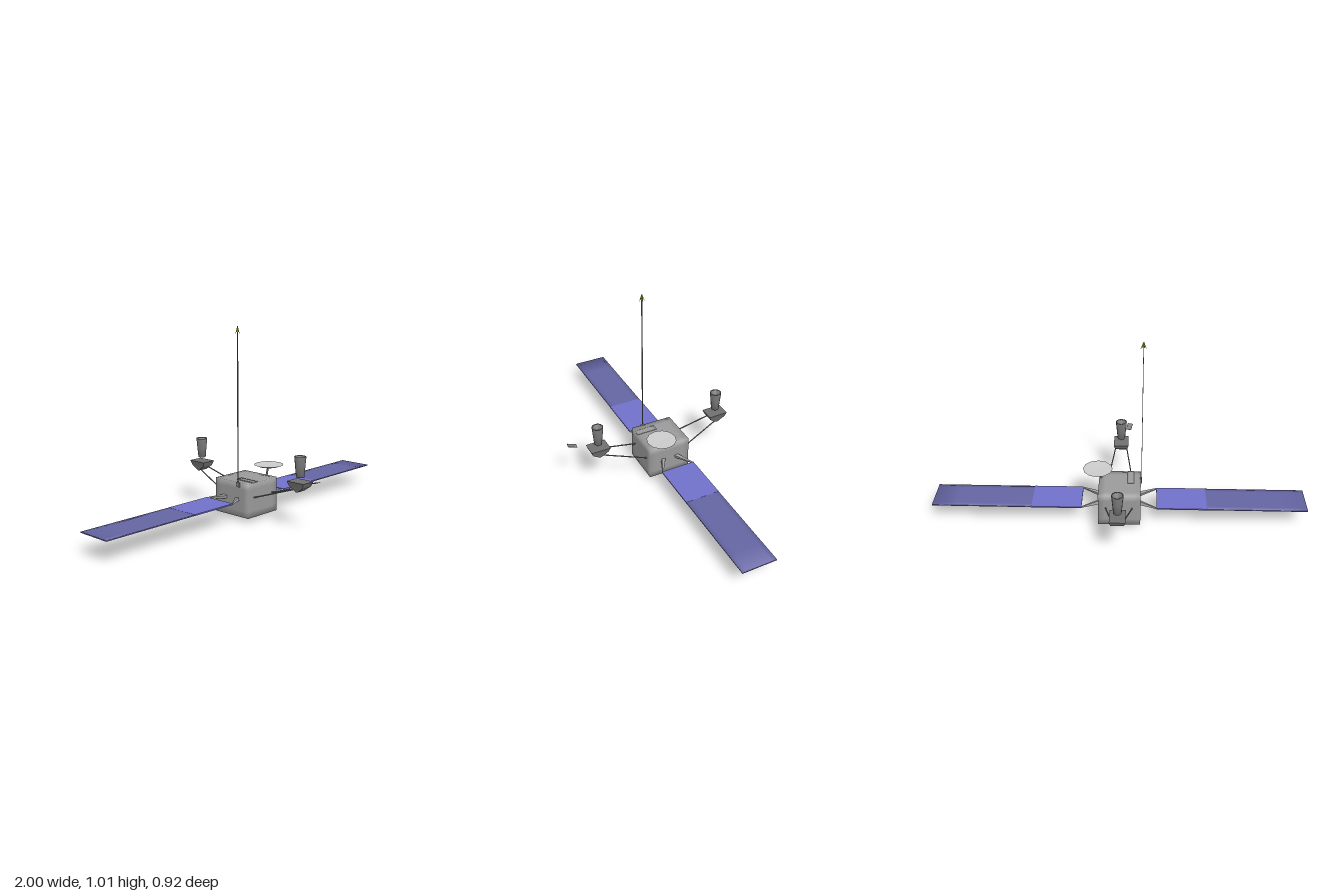
import * as THREE from 'three';

const V = (x, y, z) => new THREE.Vector3(x, y, z);

export function createModel() {
  const model = new THREE.Group();
  model.name = 'satellite';
  const paint = (color, options = {}) => new THREE.MeshStandardMaterial({ color, ...options });
  const both = { side: THREE.DoubleSide };
  const bodyGrey = paint(0x9a9a9a);
  const rodGrey = paint(0x808080);
  const strutGrey = paint(0xa0a0a0, { flatShading: true });
  const podGrey = paint(0x707070, { flatShading: true });
  const hornGrey = paint(0x787878, both);
  const nozzleGrey = paint(0x858585, both);
  const dishFace = paint(0xcccccc, both);
  const dishBack = paint(0xa0a0a0, both);
  const innerBlue = paint(0x7070c9);
  const outerBlue = paint(0x6464a2);
  const olive = paint(0x9a9a10, both);

  const add = (name, geometry, material, x = 0, y = 0, z = 0) => {
    const mesh = new THREE.Mesh(geometry, material);
    mesh.name = name;
    mesh.position.set(x, y, z);
    model.add(mesh);
    return mesh;
  };
  // Tapered rod from a to b
  const rod = (name, a, b, ra, rb, sides = 6, material = rodGrey) => {
    const d = b.clone().sub(a);
    const mid = a.clone().add(b).multiplyScalar(0.5);
    const mesh = add(name, new THREE.CylinderGeometry(rb, ra, d.length(), sides), material, mid.x, mid.y, mid.z);
    mesh.quaternion.setFromUnitVectors(V(0, 1, 0), d.normalize());
    return mesh;
  };
  const lathe = (points, sides) =>
    new THREE.LatheGeometry(points.map(([r, y]) => new THREE.Vector2(r, y)), sides);

  // Box whose shading rolls over its edges within the given margins
  const softBox = (size, margins) => {
    const g = new THREE.BoxGeometry(...size, 3, 3, 3);
    const p = g.attributes.position;
    for (let i = 0; i < p.count; i++) {
      const n = V(0, 0, 0);
      for (let k = 0; k < 3; k++) {
        const c = p.getComponent(i, k);
        const half = size[k] / 2;
        if (Math.abs(c) > half * 0.9) n.setComponent(k, Math.sign(c));
        else p.setComponent(i, k, Math.sign(c) * (half - margins[k]));
      }
      n.normalize();
      g.attributes.normal.setXYZ(i, n.x, n.y, n.z);
    }
    return g;
  };

  // Main body with a slim cover on its roof
  add('body', softBox([0.225, 0.184, 0.234], [0.035, 0.035, 0.035]), bodyGrey, -0.002, 0.112, -0.063);
  add('roofCover', softBox([0.035, 0.012, 0.115], [0.008, 0.002, 0.02]), bodyGrey, -0.06, 0.202, -0.004);

  // Engine nozzle with a recessed mouth
  add('nozzle', lathe([[0, 0.018], [0.028, 0.014], [0.045, 0], [0.052, 0], [0.073, 0.02], [0.073, 0.026]], 16),
    nozzleGrey, 0, 0, -0.065);

  // Solar wings: the outer panel slots into the inner one, held by two flared struts
  for (const s of [-1, 1]) {
    add('innerPanel', new THREE.BoxGeometry(0.268, 0.007, 0.19), innerBlue, s * 0.334, 0.112, -0.067);
    add('outerPanel', softBox([0.75, 0.006, 0.189], [0.13, 0.001, 0.025]), outerBlue, s * 0.625, 0.112, -0.067);
    for (const t of [-1, 1]) {
      rod('panelStrut', V(s * 0.105, 0.112, -0.067 + t * 0.038), V(s * 0.204, 0.112, -0.067 + t * 0.092),
        0.014, 0.004, 4, strutGrey);
    }
  }

  // Square hull of a sensor pod, lofted through three rings
  const podGeometry = () => {
    const rings = [[0.005, 0.028, 0.19], [0.044, 0.034, 0.218], [0.054, 0.041, 0.243]];
    const pos = [];
    const index = [];
    for (const [hz, hx, y] of rings) pos.push(hx, y, hz, hx, y, -hz, -hx, y, -hz, -hx, y, hz);
    for (let r = 0; r < 2; r++) {
      for (let i = 0; i < 4; i++) {
        const a = r * 4 + i, b = r * 4 + (i + 1) % 4;
        index.push(a, b, b + 4, a, b + 4, a + 4);
      }
    }
    index.push(0, 2, 1, 0, 3, 2, 8, 9, 10, 8, 10, 11);
    const g = new THREE.BufferGeometry();
    g.setAttribute('position', new THREE.Float32BufferAttribute(pos, 3));
    g.setIndex(index);
    g.computeVertexNormals();
    return g;
  };

  // Front and rear pods, each with a flared horn above and a pair of arms
  for (const [name, z, bodyZ, armZ] of [['front', 0.305, 0.048, 0.285], ['rear', -0.406, -0.176, -0.386]]) {
    add(name + 'Pod', podGeometry(), podGrey, 0, 0, z);
    add(name + 'Horn', lathe([[0, 0.266], [0.021, 0.264], [0.026, 0.318], [0.031, 0.371], [0.024, 0.368], [0, 0.35]], 12),
      hornGrey, 0, 0, z);
    for (const s of [-1, 1]) {
      rod(name + 'Arm', V(s * 0.071, 0.124, bodyZ), V(s * 0.033, 0.202, armZ), 0.0035, 0.0035);
    }
  }

  // Shallow dish on a leaning stalk
  add('dishBack', lathe([[0, 0.243], [0.025, 0.245], [0.055, 0.252], [0.08, 0.261]], 12), dishBack, 0.118, 0, -0.01);
  add('dishFace', lathe([[0.08, 0.261], [0.05, 0.259], [0, 0.257]], 12), dishFace, 0.118, 0, -0.01);
  rod('dishStalk', V(0.097, 0.19, -0.01), V(0.112, 0.246, -0.01), 0.006, 0.005);

  // Long flat mast with a barbed tip
  add('mastBracket', new THREE.BoxGeometry(0.012, 0.025, 0.02), rodGrey, -0.115, 0.192, -0.014);
  add('mast', new THREE.BoxGeometry(0.003, 0.815, 0.006), rodGrey, -0.118, 0.592, -0.014);
  add('mastTip', new THREE.ConeGeometry(0.007, 0.03, 8), olive, -0.118, 0.998, -0.014);
  for (let i = 0; i < 4; i++) {
    const a = i * Math.PI / 2;
    rod('tipBarb', V(-0.118 + Math.sin(a) * 0.014, 0.976, -0.014 + Math.cos(a) * 0.014),
      V(-0.118, 1.012, -0.014), 0.001, 0.002, 4, olive);
  }

  // Small loose plate ahead of the front pod
  const plate = add('frontPlate', new THREE.BoxGeometry(0.03, 0.002, 0.05), rodGrey, -0.044, 0.263, 0.434);
  plate.rotation.set(0.27, -0.2, 0);
  plate.rotation.x = -0.27;

  return model;
}
